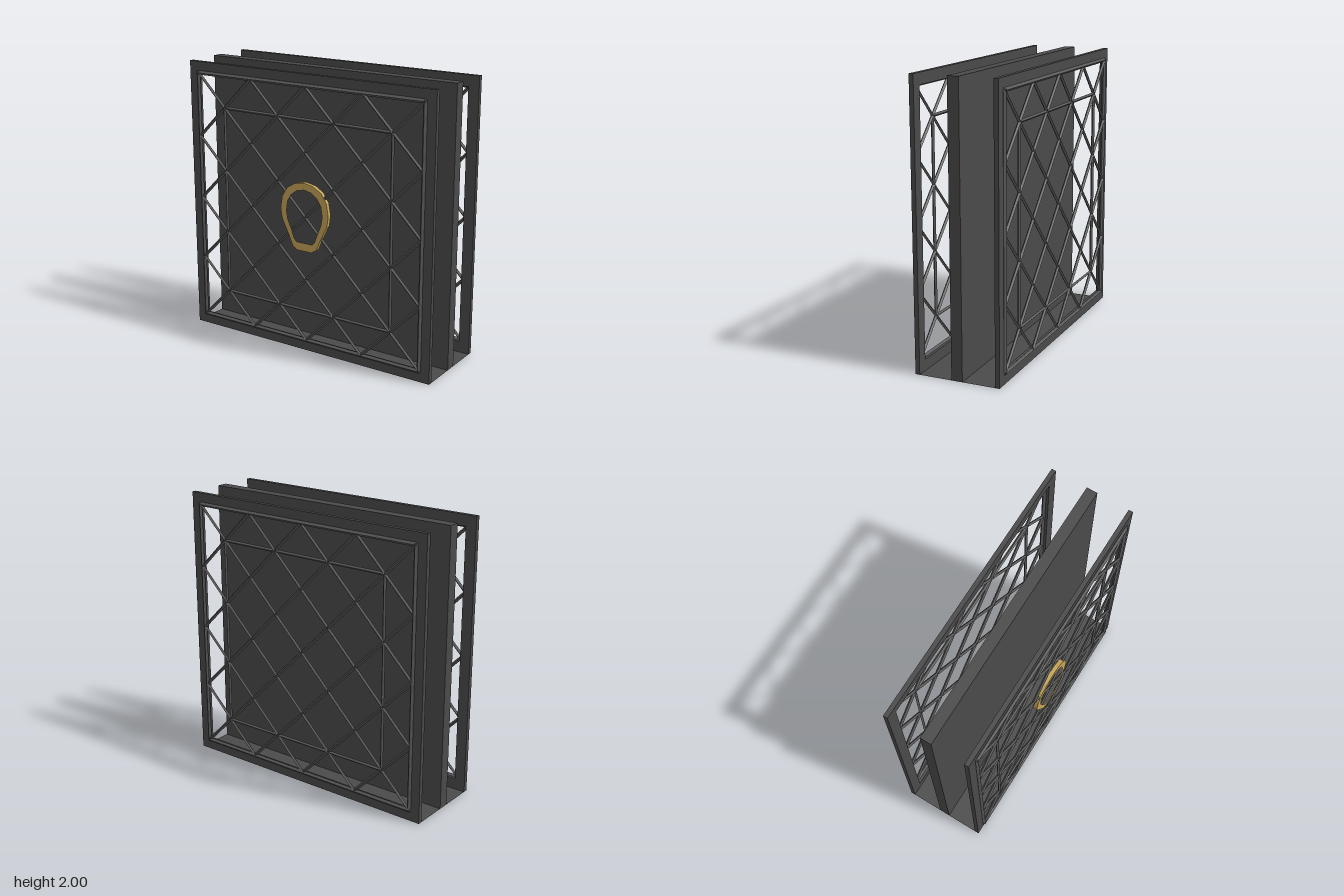
import * as THREE from 'three';

const dark = new THREE.MeshStandardMaterial({ color: 0x4a4a4a });
const steel = new THREE.MeshStandardMaterial({ color: 0x5a5a5a, flatShading: true });
const gold = new THREE.MeshStandardMaterial({ color: 0xc4a458, flatShading: true });

function add(parent, name, geometry, material) {
  const mesh = new THREE.Mesh(geometry, material);
  mesh.name = name;
  parent.add(mesh);
  return mesh;
}

// Diamond-section bar between two points in the panel plane
function bar(parent, name, x1, y1, x2, y2, r) {
  const length = Math.hypot(x2 - x1, y2 - y1);
  const mesh = add(parent, name, new THREE.CylinderGeometry(r, r, length, 4), steel);
  mesh.position.set((x1 + x2) / 2, (y1 + y2) / 2, 0);
  mesh.rotation.z = Math.atan2(y2 - y1, x2 - x1) - Math.PI / 2;
}

function squareBars(parent, name, h, r) {
  for (const s of [-1, 1]) {
    bar(parent, name, -h - r / 2, s * h, h + r / 2, s * h, r);
    bar(parent, name, s * h, -h - r / 2, s * h, h + r / 2, r);
  }
}

function square(h, Type) {
  return new Type([[-h, -h], [h, -h], [h, h], [-h, h]].map(([x, y]) => new THREE.Vector2(x, y)));
}

// Open frame filled with a diagonal lattice
function latticePanel(name) {
  const panel = new THREE.Group();
  panel.name = name;
  const H = 0.92, step = 0.46;

  const outline = square(1, THREE.Shape);
  outline.holes.push(square(H, THREE.Path));
  const frame = add(panel, 'frame', new THREE.ExtrudeGeometry(outline, { depth: 0.032, bevelEnabled: false }), dark);
  frame.position.z = 0.275;

  const lattice = new THREE.Group();
  lattice.name = 'lattice';
  lattice.position.z = 0.31;
  panel.add(lattice);
  squareBars(lattice, 'rimBar', H, 0.015);
  squareBars(lattice, 'innerSquareBar', 0.69, 0.012);
  for (let k = -3; k <= 3; k++) {
    const c = k * step;
    const a = Math.max(-H, c - H), b = Math.min(H, c + H);
    bar(lattice, 'diagonalBar', a, c - a, b, c - b, 0.012);
    bar(lattice, 'diagonalBar', a, a - c, b, b - c, 0.012);
  }
  return panel;
}

// Mirror a half outline (top to bottom) across x = 0
function mirrored(half, Type) {
  const left = half.filter(([x]) => x > 0).reverse().map(([x, y]) => [-x, y]);
  return new Type([...half, ...left].map(([x, y]) => new THREE.Vector2(x, y - 1)));
}

export function createModel() {
  const model = new THREE.Group();
  const body = new THREE.Group();
  body.name = 'panels';
  body.position.y = 1;
  model.add(body);

  // Solid middle slab
  add(body, 'middleSlab', new THREE.BoxGeometry(2, 2, 0.08), dark);

  // Front and back lattice panels
  body.add(latticePanel('frontPanel'));
  const back = latticePanel('backPanel');
  back.rotation.y = Math.PI;
  body.add(back);

  // Pear-shaped ring on the front panel
  const ring = mirrored([[0, 1.25], [0.075, 1.237], [0.14, 1.2], [0.185, 1.13], [0.2, 1.045],
    [0.19, 0.97], [0.155, 0.9], [0.13, 0.85], [0.1, 0.78], [0.06, 0.755]], THREE.Shape);
  ring.holes.push(mirrored([[0, 1.2], [0.06, 1.187], [0.11, 1.15], [0.14, 1.1], [0.15, 1.03],
    [0.14, 0.97], [0.11, 0.9], [0.085, 0.835], [0.065, 0.815]], THREE.Path));
  const emblem = add(body, 'pearRing', new THREE.ExtrudeGeometry(ring, { depth: 0.03, bevelEnabled: false }), gold);
  emblem.position.z = 0.295;

  // Thin floor sheet joining the three panels
  const sheet = dark.clone();
  sheet.side = THREE.DoubleSide;
  add(model, 'floorSheet', new THREE.PlaneGeometry(2, 0.614).rotateX(-Math.PI / 2), sheet);

  return model;
}
